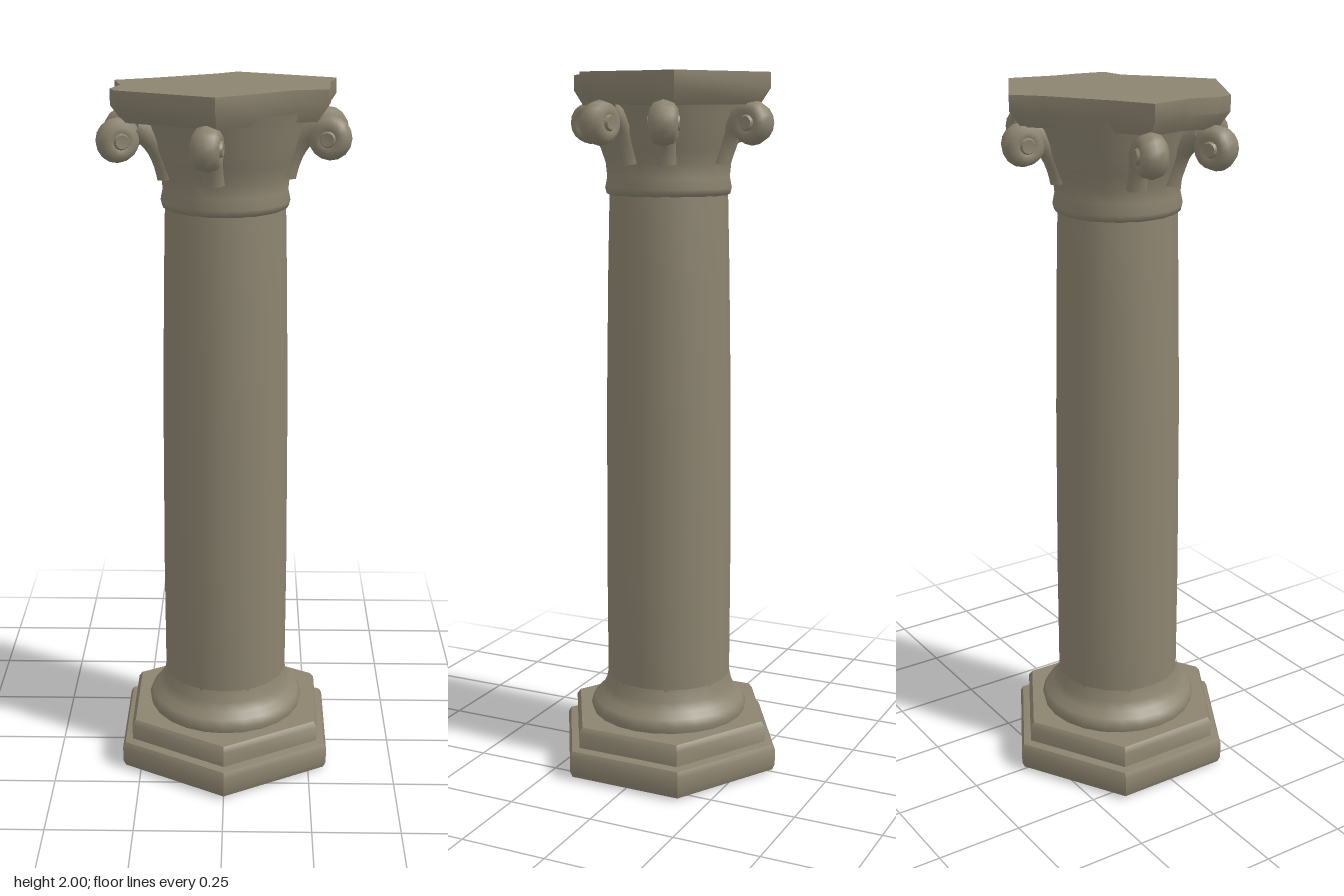
import * as THREE from 'three';
import { toCreasedNormals } from 'three/addons/utils/BufferGeometryUtils.js';

export function createModel() {
  const column = new THREE.Group();
  column.name = 'column';
  const stone = new THREE.MeshStandardMaterial({ color: 0x8c8470 });
  stone.name = 'stone';

  function add(parent, name, geometry, crease = 0.7) {
    const mesh = new THREE.Mesh(toCreasedNormals(geometry, crease), stone);
    mesh.name = name;
    parent.add(mesh);
    return mesh;
  }
  // Profiles are [radius, height] pairs from bottom to top
  const turned = (profile, sides) =>
    new THREE.LatheGeometry(profile.map(([r, y]) => new THREE.Vector2(r, y)), sides);

  // Hexagonal foot in two steps
  add(column, 'plinth', turned([
    [0, 0.005], [0.31, 0.005], [0.335, 0.012], [0.343, 0.03],
    [0.343, 0.075], [0.335, 0.09], [0.3, 0.097], [0, 0.097],
  ], 6)).scale.x = 1.02;
  add(column, 'plinthStep', turned([
    [0, 0.08], [0.31, 0.08], [0.312, 0.14], [0.3, 0.155], [0, 0.16],
  ], 6)).scale.x = 1.02;

  // Round moulding, shaft and necking
  add(column, 'baseMoulding', turned([
    [0.2, 0.15], [0.225, 0.155], [0.23, 0.175], [0.22, 0.195],
    [0.2, 0.21], [0.188, 0.235], [0.18, 0.27],
  ], 24), 1);
  add(column, 'shaft', turned([
    [0.18, 0.23], [0.181, 0.6], [0.178, 1.1], [0.172, 1.45], [0.166, 1.69],
  ], 16), 1);
  add(column, 'capitalBell', turned([
    [0.155, 1.665], [0.174, 1.675], [0.178, 1.69], [0.172, 1.72], [0.176, 1.76],
    [0.19, 1.8], [0.205, 1.84], [0.215, 1.88], [0.235, 1.94],
  ], 24), 1);

  // Worn hexagonal slab, corners given as [x, z]
  const outline = [
    [0.03, -0.315], [0.305, -0.16], [0.28, -0.03], [0.28, 0.05], [0.27, 0.132],
    [0.195, 0.14], [0.08, 0.235], [-0.02, 0.31], [-0.285, 0.16], [-0.3, 0.115],
    [-0.28, 0.03], [-0.305, -0.09], [-0.205, -0.143], [-0.035, -0.255],
  ];
  const slab = new THREE.ExtrudeGeometry(
    new THREE.Shape(outline.map(([x, z]) => new THREE.Vector2(x, -z))),
    { depth: 0.085, bevelEnabled: false, steps: 2 });
  slab.rotateX(-Math.PI / 2).translate(0, 1.915, 0);
  const p = slab.attributes.position;
  for (let i = 0; i < p.count; i++) { // draw the underside inward
    if (p.getY(i) < 1.93) p.setXYZ(i, p.getX(i) * 0.9, p.getY(i), p.getZ(i) * 0.9);
  }
  add(column, 'abacus', slab);

  // Scrolls curling out under the slab
  const curl = new THREE.QuadraticBezierCurve3(
    new THREE.Vector3(0.165, 1.76, 0), new THREE.Vector3(0.185, 1.87, 0),
    new THREE.Vector3(0.26, 1.9, 0));
  [[0.05, -0.32], [0.33, -0.14], [0.33, 0.08],
    [-0.05, 0.32], [-0.33, 0.14], [-0.33, -0.1]].forEach(([x, z], i) => {
    const scroll = new THREE.Group();
    scroll.name = 'scroll' + (i + 1);
    scroll.rotation.y = -Math.atan2(z, x);
    const reach = Math.hypot(x, z) - 0.052;
    const roll = turned([
      [0, -0.04], [0.018, -0.042], [0.022, -0.034], [0.036, -0.038], [0.052, -0.026],
      [0.06, 0], [0.052, 0.026], [0.036, 0.038], [0.022, 0.034], [0.018, 0.042], [0, 0.04],
    ], 16);
    roll.rotateX(Math.PI / 2).translate(reach, 1.867, 0);
    add(scroll, 'roll', roll, 1);
    add(scroll, 'stem', new THREE.TubeGeometry(curl, 8, 0.032, 8), 1.2);
    column.add(scroll);
  });

  return column;
}
